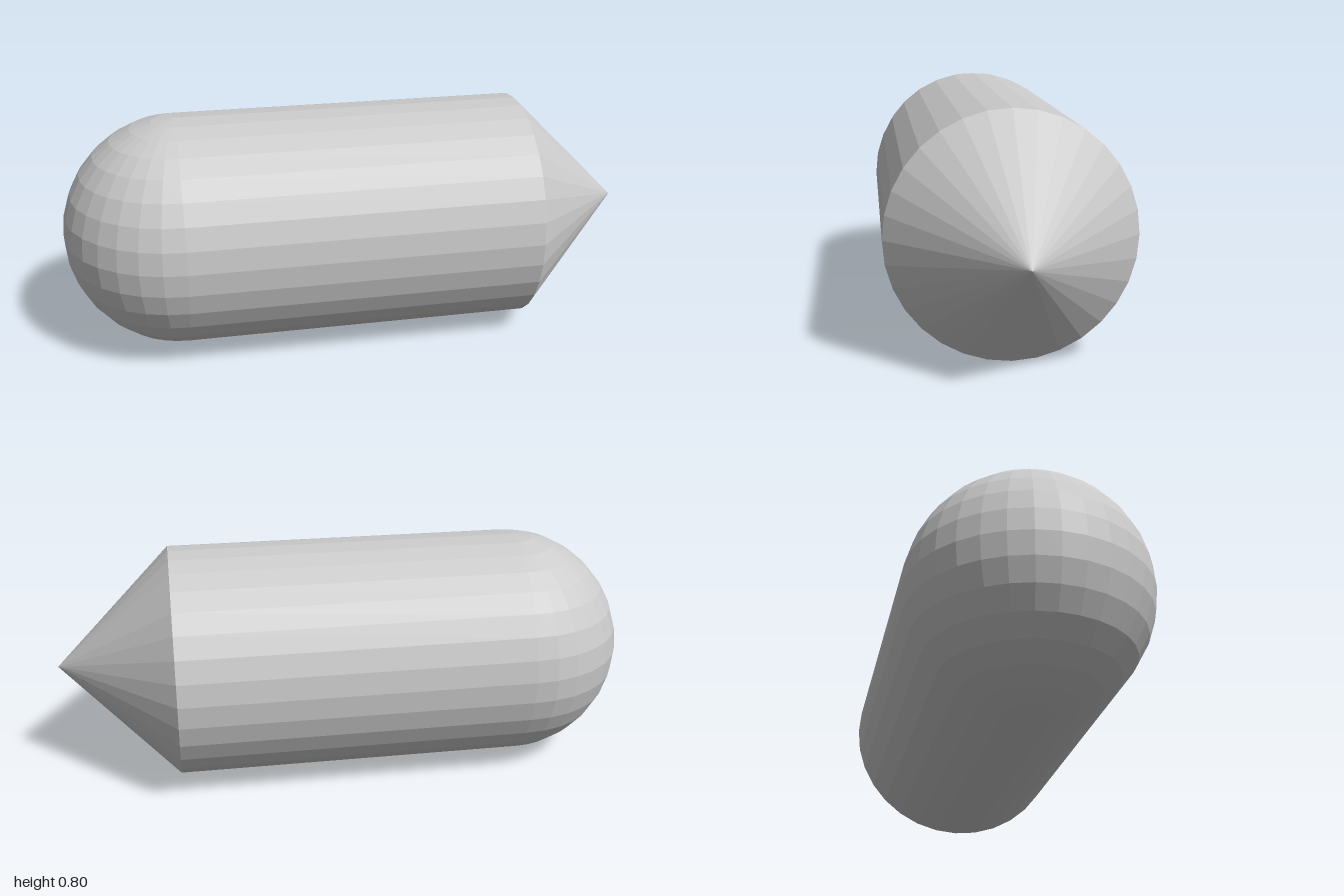
import * as THREE from 'three';

const RADIUS = 0.4;
const SIDES = 32;

export function createModel() {
  const model = new THREE.Group();
  const material = new THREE.MeshStandardMaterial({ color: 0xcccccc, flatShading: true });

  const addPart = (name, geometry, x) => {
    const mesh = new THREE.Mesh(geometry, material);
    mesh.name = name;
    mesh.position.set(x, RADIUS, 0);
    model.add(mesh);
  };

  // Straight barrel lying along x
  const body = new THREE.CylinderGeometry(RADIUS, RADIUS, 1.2, SIDES, 1, true).rotateZ(-Math.PI / 2);
  addPart('body', body, 0);

  // Pointed end on the +x side
  const tip = new THREE.ConeGeometry(RADIUS, 0.4, SIDES, 1, true).rotateZ(-Math.PI / 2);
  addPart('coneTip', tip, 0.8);

  // Rounded end on the -x side, a half sphere with its poles on the y axis
  const dome = new THREE.SphereGeometry(RADIUS, SIDES / 2, SIDES / 2, -Math.PI / 2, Math.PI);
  addPart('roundedEnd', dome, -0.6);

  return model;
}
